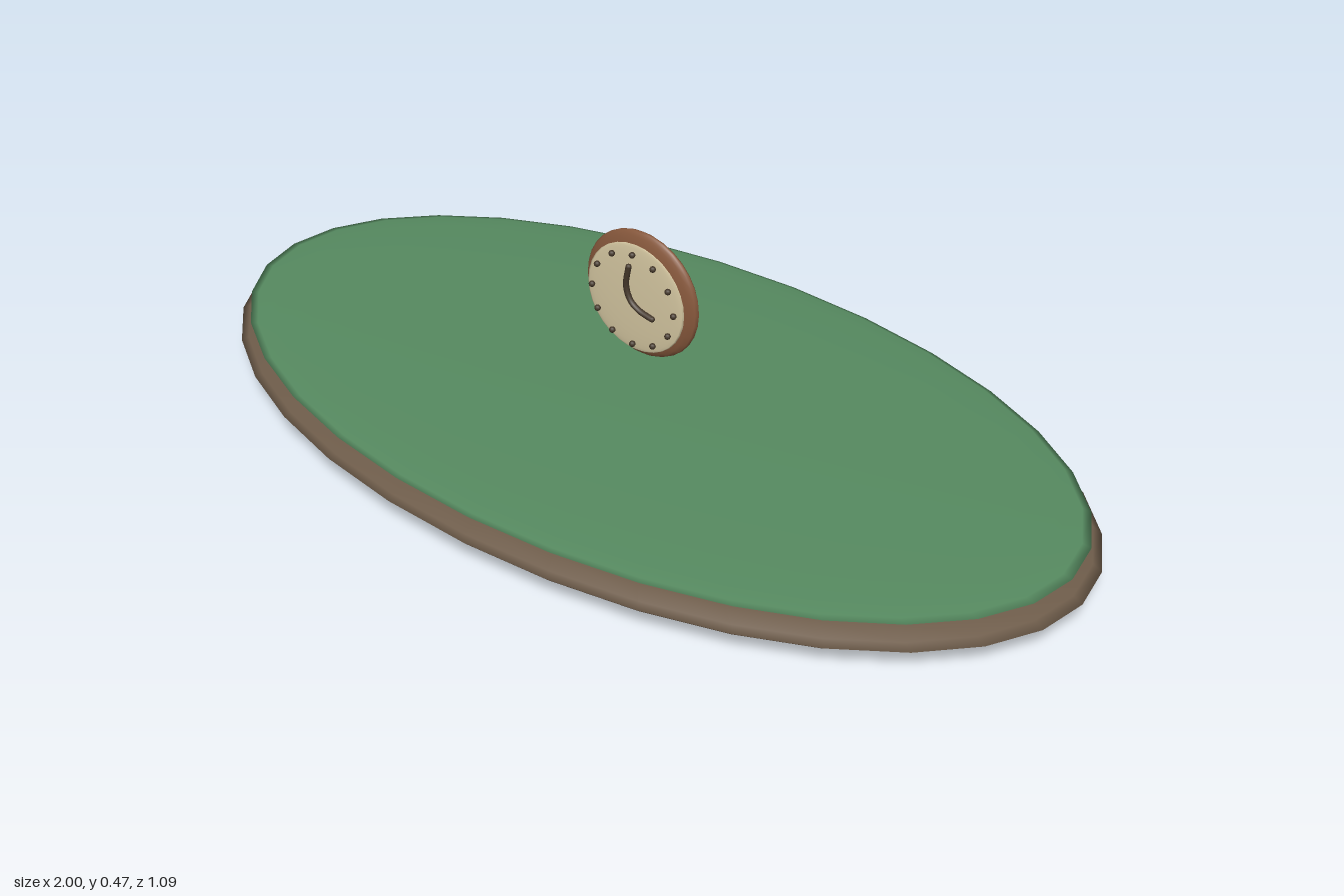
import * as THREE from 'three';

const material = (name, color) => {
  const m = new THREE.MeshStandardMaterial({ color });
  m.name = name;
  return m;
};

export function createModel() {
  const group = new THREE.Group();
  const earth = material('earth brown', 0x6e5c4a);
  const grass = material('grass green', 0x568a60);
  const wood = material('wood brown', 0x87583c);
  const cream = material('cream', 0xd6c8a2);
  const dark = material('dark brown', 0x44372a);

  const add = (parent, name, geometry, mat, x, y, z) => {
    const mesh = new THREE.Mesh(geometry, mat);
    mesh.name = name;
    mesh.position.set(x, y, z);
    parent.add(mesh);
    return mesh;
  };
  // Flattened ball with half sizes rx, ry, rz
  const ellipsoid = (rx, ry, rz, w = 32, h = 16) =>
    new THREE.SphereGeometry(1, w, h).scale(rx, ry, rz);

  // Ground: earth disc with a thin grass layer on top
  add(group, 'earthBase', ellipsoid(1, 0.057, 0.545), earth, 0, 0.06, 0);
  add(group, 'grassTop', ellipsoid(0.975, 0.018, 0.525), grass, 0, 0.105, 0);

  // Floating clock
  const clock = new THREE.Group();
  clock.name = 'clock';
  clock.position.y = 0.34;
  group.add(clock);
  add(clock, 'clockCase', ellipsoid(0.137, 0.137, 0.023, 24, 16), wood, 0, 0, 0);
  add(clock, 'clockFace', ellipsoid(0.118, 0.118, 0.006, 24, 16), cream, 0, 0, 0.022);

  // Twelve hour dots
  const dot = new THREE.SphereGeometry(0.0065, 10, 8);
  for (let i = 0; i < 12; i++) {
    const a = (i / 12) * Math.PI * 2;
    add(clock, 'hourDot', dot, dark, Math.sin(a) * 0.1, Math.cos(a) * 0.1, 0.033);
  }

  // Bent hands, made as one curved rod with rounded ends
  const path = [[-0.004, 0.076], [-0.01, 0.032], [0.001, 0.002], [0.022, -0.013], [0.053, -0.021]]
    .map(([x, y]) => new THREE.Vector3(x, y, 0));
  const r = 0.006;
  add(clock, 'hands', new THREE.TubeGeometry(new THREE.CatmullRomCurve3(path), 24, r, 8), dark, 0, 0, 0.039);
  for (const p of [path[0], path[path.length - 1]]) {
    add(clock, 'handTip', new THREE.SphereGeometry(r, 10, 8), dark, p.x, p.y, 0.039);
  }
  return group;
}
